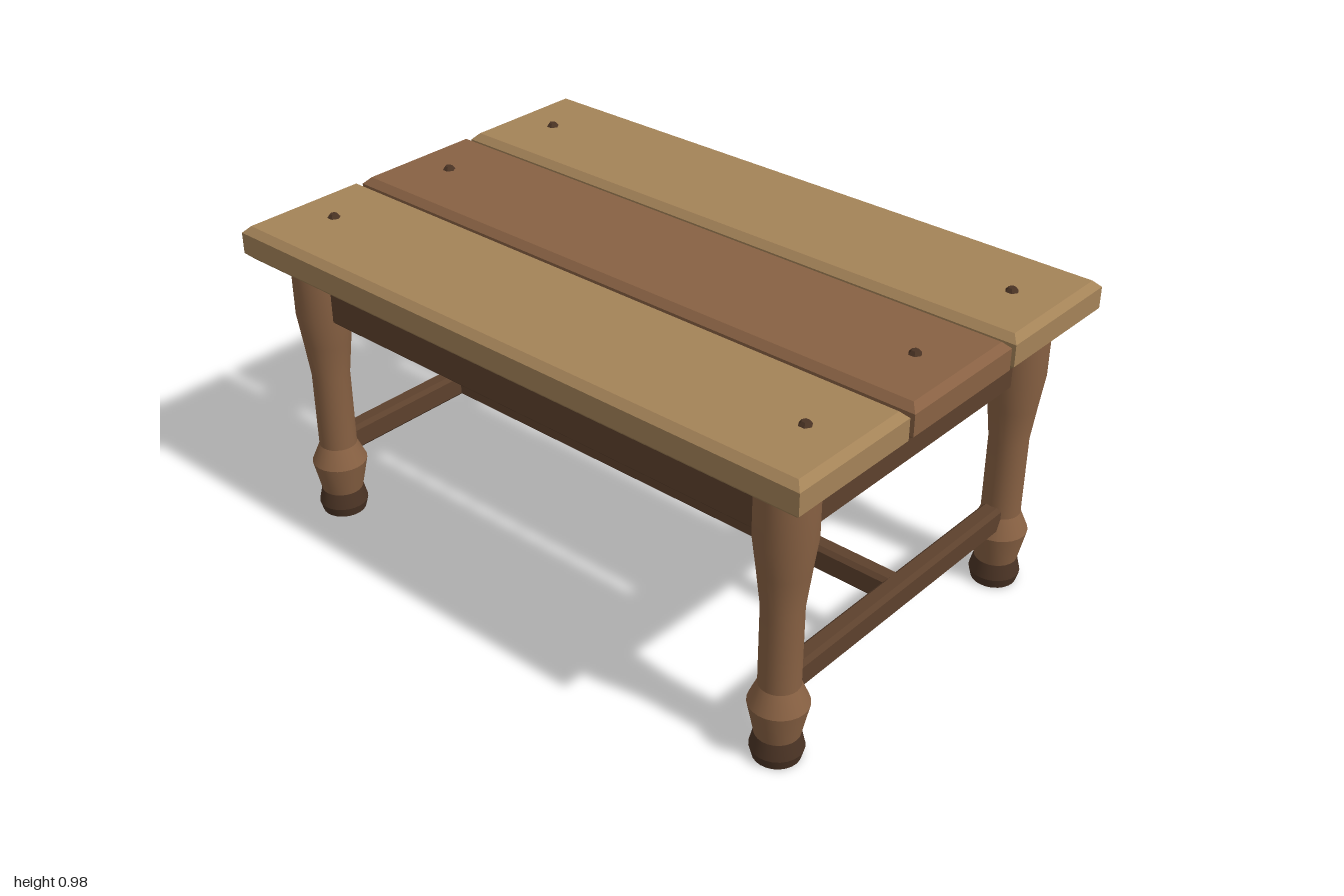
import * as THREE from 'three';
import { toCreasedNormals } from 'three/addons/utils/BufferGeometryUtils.js';

const material = (name, color) => {
  const m = new THREE.MeshStandardMaterial({ color });
  m.name = name;
  return m;
};

// Box standing on its local y = 0, chamfered around the top and bottom edges
function chamferedBox(w, h, d, c) {
  const x = w / 2 - c, z = d / 2 - c;
  const outline = new THREE.Shape([
    new THREE.Vector2(-x, -z), new THREE.Vector2(x, -z),
    new THREE.Vector2(x, z), new THREE.Vector2(-x, z),
  ]);
  const g = new THREE.ExtrudeGeometry(outline, {
    depth: h - 2 * c, bevelEnabled: true, bevelThickness: c, bevelSize: c, bevelSegments: 1,
  });
  return g.translate(0, 0, c).rotateX(-Math.PI / 2);
}

// Turned part from [radius, height] pairs, listed bottom to top
function turned(profile) {
  const points = profile.map(([r, y]) => new THREE.Vector2(r, y));
  return toCreasedNormals(new THREE.LatheGeometry(points, 24), 0.35);
}

export function createModel() {
  const group = new THREE.Group();
  group.name = 'table';

  const lightWood = material('light oak', 0xa48358);
  const midWood = material('warm brown wood', 0x886143);
  const darkWood = material('dark brown wood', 0x5d412d);
  const footWood = material('very dark wood', 0x4a3324);

  const add = (name, geometry, mat, x, y, z) => {
    const mesh = new THREE.Mesh(geometry, mat);
    mesh.name = name;
    mesh.position.set(x, y, z);
    group.add(mesh);
  };

  const legX = 0.855, legZ = 0.513;

  // Three top planks, each held by a bolt at either end
  const plank = chamferedBox(2, 0.104, 0.428, 0.02);
  const bolt = new THREE.CylinderGeometry(0.011, 0.02, 0.012, 6).toNonIndexed();
  bolt.rotateY(Math.PI / 6);
  bolt.computeVertexNormals();
  for (const i of [-1, 0, 1]) {
    add('topPlank', plank, i === 0 ? midWood : lightWood, 0, 0.861, i * 0.448);
    for (const s of [-1, 1]) add('bolt', bolt, footWood, s * 0.85, 0.97, i * 0.448);
  }

  // Turned legs with dark feet
  const leg = turned([
    [0, 0.075], [0.062, 0.075], [0.083, 0.175], [0.057, 0.235], [0.057, 0.48],
    [0.07, 0.59], [0.083, 0.69], [0.083, 0.862], [0, 0.862],
  ]);
  const foot = turned([
    [0, 0], [0.066, 0], [0.074, 0.03], [0.063, 0.076], [0, 0.076],
  ]);
  for (const sx of [-1, 1]) {
    for (const sz of [-1, 1]) {
      add('leg', leg, midWood, sx * legX, 0, sz * legZ);
      add('foot', foot, footWood, sx * legX, 0, sz * legZ);
    }
  }

  // Aprons under the top, and low stretchers forming an H
  const longApron = chamferedBox(2 * legX, 0.186, 0.06, 0.012);
  const sideApron = chamferedBox(0.06, 0.186, 2 * legZ, 0.012);
  const sideStretcher = chamferedBox(0.06, 0.083, 2 * legZ, 0.012);
  for (const s of [-1, 1]) {
    add('longApron', longApron, darkWood, 0, 0.675, s * legZ);
    add('sideApron', sideApron, darkWood, s * legX, 0.675, 0);
    add('sideStretcher', sideStretcher, darkWood, s * legX, 0.189, 0);
  }
  add('longStretcher', chamferedBox(2 * legX, 0.082, 0.06, 0.012), darkWood, 0, 0.1895, 0);

  return group;
}
